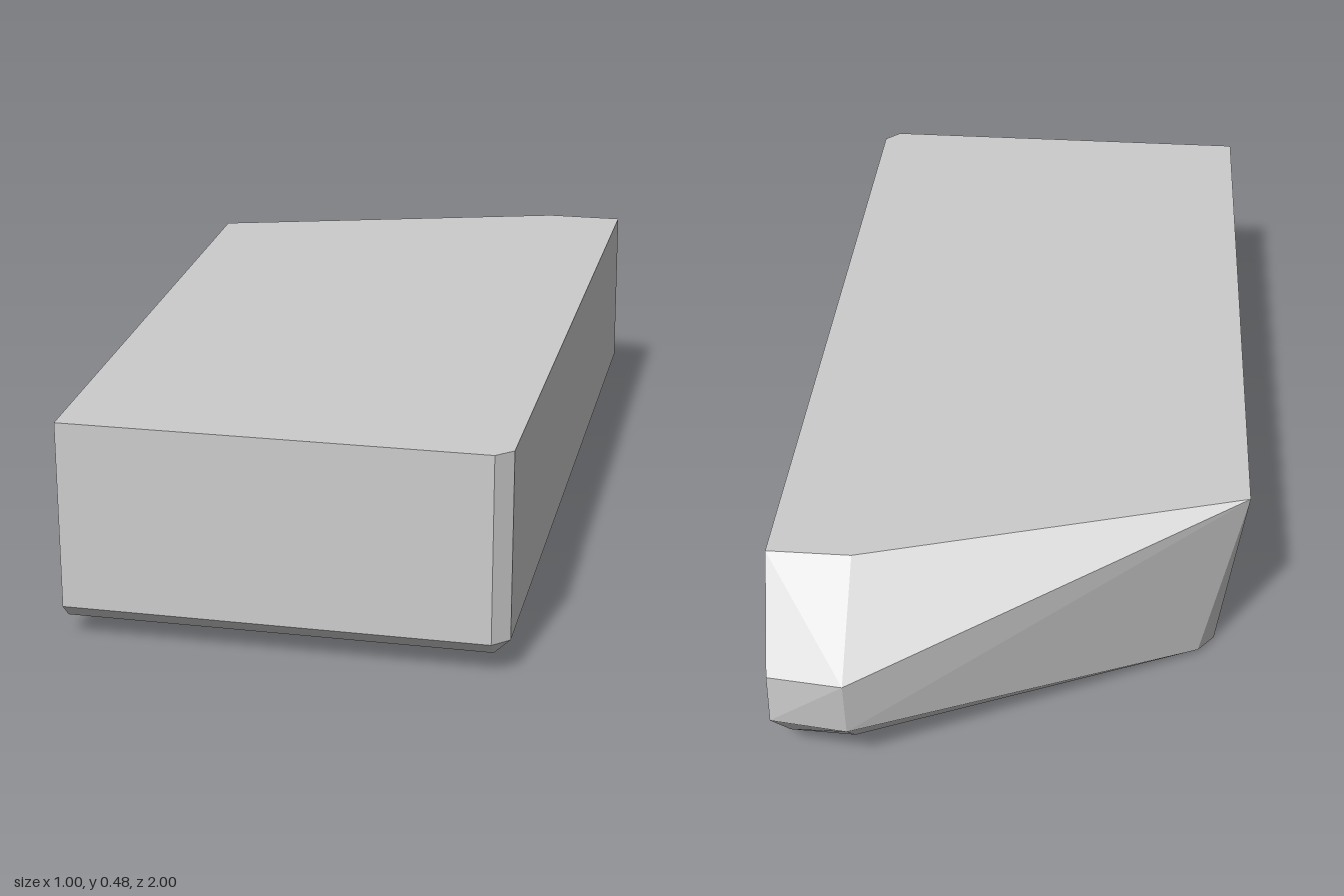
import * as THREE from 'three';
import { ConvexGeometry } from 'three/addons/geometries/ConvexGeometry.js';

export function createModel() {
  const group = new THREE.Group();
  group.name = 'stoneBlock';

  const stone = new THREE.MeshStandardMaterial({ color: 0xcccccc });
  stone.name = 'pale grey stone';

  // Flat top outline
  const top = [
    [-0.5, 0.48, -0.55], [-0.43, 0.48, 1], [0.462, 0.48, 0.995],
    [0.496, 0.48, 0.962], [0.5, 0.48, -0.81], [0.32, 0.48, -0.81],
  ];
  // Chamfered front and right lower edges
  const lowerEdges = [
    [-0.43, 0.077, 1], [0.462, 0.077, 0.995], [0.496, 0.077, 0.962],
    [-0.43, 0.045, 0.968], [0.462, 0.045, 0.962],
    [0.496, 0.08, -0.88], [0.462, 0.045, -0.88],
  ];
  // Pointed back end
  const back = [
    [0.32, 0.285, -1], [0.32, 0.145, -0.982], [0.32, 0.045, -0.885],
    [0.482, 0.28, -0.977], [0.482, 0.16, -0.977],
  ];
  // Sagging underside along the left edge
  const underside = [
    [-0.44, 0, 0.53], [-0.44, 0, -0.45], [-0.405, 0.012, -0.51],
  ];

  const points = [...top, ...lowerEdges, ...back, ...underside]
    .map((p) => new THREE.Vector3(...p));
  const block = new THREE.Mesh(new ConvexGeometry(points), stone);
  block.name = 'block';
  group.add(block);
  return group;
}
